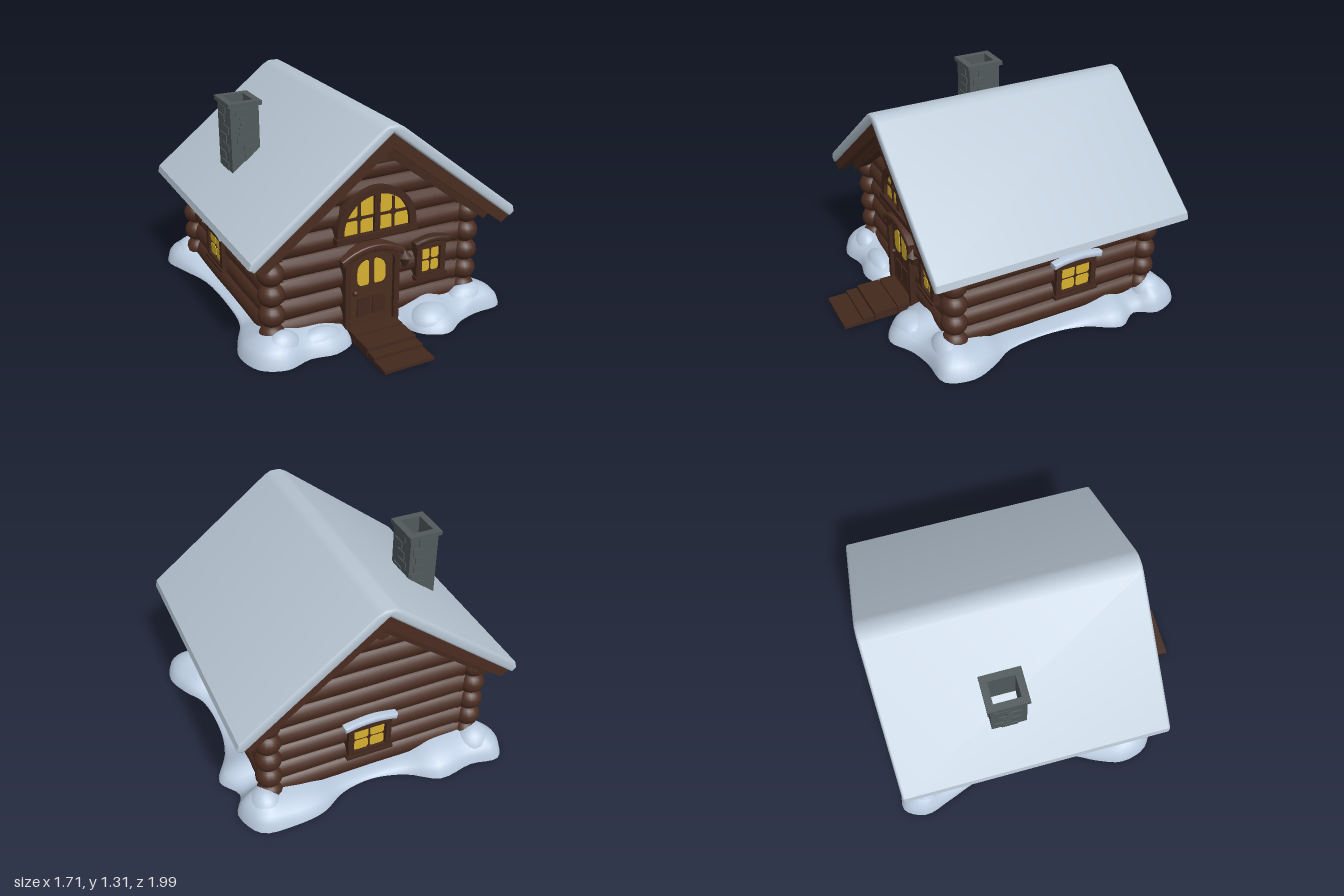
import * as THREE from 'three';
import { toCreasedNormals } from 'three/addons/utils/BufferGeometryUtils.js';

const paint = (name, color, side = THREE.FrontSide) => {
  const m = new THREE.MeshStandardMaterial({ color, side });
  m.name = name;
  return m;
};

export function createModel() {
  const wood = paint('log brown', 0x4a2c20);
  const trim = paint('trim brown', 0x42281d);
  const dark = paint('dark brown', 0x2e1b14);
  const glow = paint('window yellow', 0xd6b02f);
  const stone = paint('chimney grey', 0x50595b);
  const roofSnow = paint('roof snow', 0xb8c6d3);
  const drift = paint('drift snow', 0xb8c8dc);
  const model = new THREE.Group();
  model.name = 'snowyCabin';
  const CX = -0.02, HX = 0.64, ZF = 0.51, ZB = -0.765; // corner positions

  const add = (name, geo, mat, x = 0, y = 0, z = 0, parent = model) => {
    const m = new THREE.Mesh(geo, mat);
    m.name = name;
    m.position.set(x, y, z);
    parent.add(m);
    return m;
  };
  const box = (name, mat, w, h, d, x, y, z, parent) => add(name, new THREE.BoxGeometry(w, h, d), mat, x, y, z, parent);
  const poly = (pts) => new THREE.Shape(pts.map(p => new THREE.Vector2(p[0], p[1])));
  // extrude a shape between two z planes, with optional rounded edges
  const ext = (shape, z0, z1, b = 0) => {
    const g = new THREE.ExtrudeGeometry(shape, { depth: z1 - z0 - 2 * b, bevelEnabled: b > 0, bevelSize: b,
      bevelThickness: b, bevelOffset: -b, bevelSegments: 3, curveSegments: 14 });
    g.translate(0, 0, z0 + b);
    return b > 0 ? toCreasedNormals(g, 0.6) : g;
  };
  const rect = (w, h) => poly([[-w, -h], [w, -h], [w, h], [-w, h]]);
  const roundRect = (x, y, w, h, r) => {
    const s = new THREE.Shape();
    s.moveTo(x - w + r, y - h).lineTo(x + w - r, y - h).quadraticCurveTo(x + w, y - h, x + w, y - h + r);
    s.lineTo(x + w, y + h - r).quadraticCurveTo(x + w, y + h, x + w - r, y + h);
    s.lineTo(x - w + r, y + h).quadraticCurveTo(x - w, y + h, x - w, y + h - r);
    s.lineTo(x - w, y - h + r).quadraticCurveTo(x - w, y - h, x - w + r, y - h);
    return s;
  };
  const arch = (w, y0, spring, rise) => {
    const s = new THREE.Shape();
    s.moveTo(-w, y0).lineTo(w, y0).lineTo(w, spring).absellipse(0, spring, w, rise, 0, Math.PI, false, 0);
    return s;
  };
  // curved band used for hoods and caps
  const capShape = (w, y, rise, t) => {
    const top = [], low = [];
    for (let i = 0; i <= 10; i++) {
      const u = i / 5 - 1, k = y + rise * (1 - u * u);
      top.push([u * w, k + t]);
      low.unshift([u * w * 0.96, k]);
    }
    return poly([...top, ...low]);
  };

  // ---- log walls
  const log = (name, len, x, y, z, alongX, i) => {
    const g = new THREE.CylinderGeometry(0.071, 0.071, len, 14, 6);
    const p = g.attributes.position;
    for (let k = 0; k < p.count; k++) {
      const f = 1 + 0.025 * Math.sin(p.getY(k) * 9 + i * 2.3);
      p.setX(k, p.getX(k) * f);
      p.setZ(k, p.getZ(k) * f);
    }
    if (alongX) g.rotateZ(Math.PI / 2); else g.rotateX(Math.PI / 2);
    g.computeVertexNormals();
    add(name, toCreasedNormals(g, 0.9), wood, x, y, z);
  };
  const midZ = (ZF + ZB) / 2;
  for (let i = 0; i < 5; i++) {
    const y = 0.115 + 0.127 * i;
    log('frontLog', 2 * HX, CX, y, ZF - 0.04, true, i);
    log('backLog', 2 * HX, CX, y, ZB + 0.04, true, i + 2);
    for (const s of [-1, 1]) {
      log('sideLog', ZF - ZB, CX + s * (HX - 0.04), y, midZ, false, i + s);
      for (const z of [ZF, ZB]) {
        const end = add('logEnd', new THREE.SphereGeometry(0.078, 16, 12), wood, CX + s * HX, y, z);
        end.scale.y = 0.92;
      }
    }
  }
  for (let i = 0; i < 4; i++) { // gable logs shorten towards the ridge
    const y = 0.75 + 0.127 * i, half = (1.2 - y) / 0.785;
    log('gableLog', 2 * half, -0.01, y, ZF - 0.04, true, i + 1);
    log('gableLog', 2 * half, -0.01, y, ZB + 0.04, true, i + 4);
  }
  add('innerWall', ext(poly([[-0.61, 0.02], [0.58, 0.02], [0.58, 0.74], [-0.01, 1.21], [-0.61, 0.74]]),
    ZB + 0.05, ZF - 0.05), dark);

  // ---- roof deck, rake boards and snow blanket
  const chevron = (w, eave, apex, t) => poly([[-w, eave], [0, apex], [w, eave],
    [w - t * 0.6, eave - t * 0.45], [0, apex - t], [-w + t * 0.6, eave - t * 0.45]]);
  add('roofDeck', ext(chevron(0.815, 0.63, 1.265, 0.06), -0.88, 0.68), trim, -0.01);
  for (const [z0, z1] of [[0.645, 0.69], [-0.89, -0.85]])
    add('rakeBoard', ext(chevron(0.82, 0.63, 1.27, 0.095), z0, z1), wood, -0.01);
  for (const [z0, z1] of [[0.53, 0.6], [-0.85, -0.79]])
    add('innerRafter', ext(chevron(0.78, 0.655, 1.26, 0.14), z0, z1), trim, -0.01);
  const ridge = add('ridgeLog', new THREE.CylinderGeometry(0.045, 0.045, 1.44, 8), wood, -0.01, 1.115, -0.13);
  ridge.rotation.x = Math.PI / 2;
  box('collarTie', trim, 0.2, 0.03, 0.05, -0.01, 1.065, 0.545);
  const blanket = poly([[-0.845, 0.645], [-0.835, 0.685], [-0.07, 1.285], [-0.03, 1.306], [0.03, 1.306], [0.07, 1.285],
    [0.835, 0.685], [0.845, 0.645], [0.815, 0.622], [0, 1.262], [-0.815, 0.622]]);
  add('roofSnow', ext(blanket, -0.918, 0.705, 0.016), roofSnow, -0.01);

  // ---- chimney: hollow shaft, rim and raised stones
  const tube = (w, d, iw, id, y0, y1) => {
    const s = rect(w, d);
    s.holes.push(rect(iw, id));
    return ext(s, y0, y1).rotateX(-Math.PI / 2);
  };
  const chimney = new THREE.Group();
  chimney.name = 'chimney';
  chimney.position.set(-0.531, 0, -0.22);
  model.add(chimney);
  add('shaft', tube(0.089, 0.104, 0.063, 0.078, 0.78, 1.27), stone, 0, 0, 0, chimney);
  add('rim', tube(0.104, 0.12, 0.063, 0.078, 1.262, 1.288), stone, 0, 0, 0, chimney);
  let seed = 7;
  const rnd = () => (seed = (seed * 16807) % 2147483647) / 2147483647;
  for (let r = 0; r < 8; r++) for (const s of [-1, 1]) {
    const y = 0.83 + r * 0.057, a = (rnd() - 0.5) * 0.07, b = (rnd() - 0.5) * 0.08;
    box('stone', stone, 0.07 + rnd() * 0.03, 0.045, 0.012, a, y, s * 0.104, chimney);
    box('stone', stone, 0.012, 0.045, 0.08 + rnd() * 0.03, s * 0.089, y, b, chimney);
  }

  // ---- four-pane windows, facing +z before turning
  const makeWindow = (name, x, y, z, turn, w, h, gw, gh, capMat, capW) => {
    const g = new THREE.Group();
    g.name = name;
    g.position.set(x, y, z);
    g.rotation.y = turn;
    model.add(g);
    const frame = rect(w, h);
    frame.holes.push(rect(gw, gh));
    add('frame', ext(frame, -0.06, 0.025), trim, 0, 0, 0, g);
    add('muntins', ext(rect(gw, gh), -0.06, 0.008), trim, 0, 0, 0, g);
    for (const sx of [-1, 1]) for (const sy of [-1, 1])
      add('pane', ext(roundRect(sx * gw / 2, sy * gh / 2, gw / 2 - 0.006, gh / 2 - 0.006, 0.018), 0.007, 0.012), glow, 0, 0, 0, g);
    box('sill', trim, 2 * w + 0.02, 0.02, 0.09, 0, -h, -0.01, g);
    add('cap', ext(capShape(capW, h - 0.005, 0.022, 0.036), -0.06, 0.045, 0.012), capMat, 0, 0, 0, g);
  };
  makeWindow('frontWindow', 0.352, 0.375, 0.54, 0, 0.1, 0.105, 0.064, 0.08, trim, 0.125);
  makeWindow('rightWindow', CX + 0.67, 0.34, -0.26, -Math.PI * 1.5, 0.135, 0.11, 0.1, 0.08, drift, 0.165);
  makeWindow('leftWindow', CX - 0.67, 0.34, -0.26, Math.PI * 1.5, 0.135, 0.11, 0.1, 0.08, drift, 0.165);
  makeWindow('backWindow', 0.02, 0.34, -0.795, Math.PI, 0.135, 0.11, 0.1, 0.08, drift, 0.165);

  // ---- half-round gable window
  const fan = new THREE.Group();
  fan.name = 'archWindow';
  fan.position.set(-0.025, 0.645, 0);
  model.add(fan);
  const fanFrame = arch(0.255, -0.01, 0.02, 0.25);
  fanFrame.holes.push(arch(0.213, 0, 0.02, 0.208));
  add('frame', ext(fanFrame, 0.47, 0.575), trim, 0, 0, 0, fan);
  add('glass', ext(arch(0.215, 0, 0.02, 0.21), 0.545, 0.551), glow, 0, 0, 0, fan);
  add('backing', ext(arch(0.215, 0, 0.02, 0.21), 0.45, 0.544), trim, 0, 0, 0, fan);
  box('sill', trim, 0.53, 0.035, 0.11, 0, -0.018, 0.53, fan);
  box('post', trim, 0.036, 0.225, 0.03, 0, 0.112, 0.555, fan);
  box('crossBar', trim, 0.42, 0.016, 0.012, 0, 0.095, 0.553, fan);
  for (const s of [-1, 1]) {
    box('verticalBar', trim, 0.016, 0.19, 0.012, s * 0.11, 0.095, 0.553, fan);
    const boss = add('boss', new THREE.CylinderGeometry(0.02, 0.02, 0.012, 10), trim, s * 0.11, 0.095, 0.553, fan);
    boss.rotation.x = Math.PI / 2;
  }

  // ---- door with hood, panes, panels and knob
  const door = new THREE.Group();
  door.name = 'door';
  door.position.x = -0.05;
  model.add(door);
  const doorFrame = arch(0.178, 0.02, 0.45, 0.095);
  doorFrame.holes.push(arch(0.143, 0.03, 0.44, 0.075));
  add('frame', ext(doorFrame, 0.46, 0.575), trim, 0, 0, 0, door);
  add('leaf', ext(arch(0.145, 0.03, 0.44, 0.076), 0.46, 0.552), wood, 0, 0, 0, door);
  add('hood', ext(capShape(0.205, 0.465, 0.065, 0.038), 0.47, 0.588, 0.008), wood, 0, 0, 0, door);
  for (const s of [-1, 1]) {
    const pane = new THREE.Shape();
    pane.moveTo(s * 0.03, 0.31).lineTo(s * 0.065, 0.31).quadraticCurveTo(s * 0.092, 0.315, s * 0.092, 0.35);
    pane.lineTo(s * 0.092, 0.4).quadraticCurveTo(s * 0.088, 0.455, s * 0.03, 0.468);
    pane.quadraticCurveTo(s * 0.018, 0.465, s * 0.018, 0.45).lineTo(s * 0.018, 0.33).quadraticCurveTo(s * 0.018, 0.31, s * 0.03, 0.31);
    add('pane', ext(pane, 0.551, 0.558), glow, 0, 0, 0, door);
    box('panel', trim, 0.085, 0.12, 0.012, s * 0.05, 0.17, 0.553, door);
  }
  add('knob', new THREE.SphereGeometry(0.017, 12, 8), trim, -0.11, 0.275, 0.565, door);
  // lantern beside the door
  add('lantern', new THREE.CylinderGeometry(0.036, 0.014, 0.06, 6), trim, 0.168, 0.405, 0.56);
  add('lanternRoof', new THREE.ConeGeometry(0.045, 0.05, 6), trim, 0.168, 0.46, 0.56);

  // ---- entrance steps
  for (const [z0, z1, h] of [[0.46, 0.655, 0.055], [0.66, 0.805, 0.052], [0.81, 0.88, 0.037], [0.88, 1.0, 0.02]])
    box('step', trim, 0.32, h, z1 - z0, -0.05, h / 2, (z0 + z1) / 2);

  // ---- snow drifts: outline points [x, z, height against the wall]
  const rim = [[0.11, 0.6, 0.05], [0.2, 0.74, 0.09], [0.34, 0.8, 0.13], [0.48, 0.72, 0.1], [0.62, 0.68, 0.15],
    [0.8, 0.66, 0.15], [0.855, 0.5, 0.13], [0.8, 0.34, 0.1], [0.72, 0.2, 0.03], [0.7, -0.1, 0.02], [0.74, -0.3, 0.05],
    [0.84, -0.5, 0.11], [0.76, -0.64, 0.07], [0.82, -0.78, 0.16], [0.74, -0.95, 0.16], [0.55, -0.975, 0.13],
    [0.36, -0.95, 0.1], [0.2, -0.86, 0.05], [0, -0.83, 0.03], [-0.2, -0.88, 0.06], [-0.38, -0.99, 0.13],
    [-0.6, -0.96, 0.14], [-0.78, -0.98, 0.16], [-0.85, -0.85, 0.16], [-0.8, -0.68, 0.1], [-0.72, -0.45, 0.03],
    [-0.7, -0.1, 0.02], [-0.72, 0.15, 0.03], [-0.8, 0.32, 0.09], [-0.85, 0.48, 0.14], [-0.8, 0.65, 0.16],
    [-0.66, 0.72, 0.16], [-0.5, 0.68, 0.13], [-0.35, 0.7, 0.12], [-0.22, 0.64, 0.07], [-0.2, 0.56, 0.03], [-0.05, 0.55, 0.02]];
  const curve = new THREE.CatmullRomCurve3(rim.map(([x, z, h]) => new THREE.Vector3(x, h, z)), true);
  const N = 148, M = 7, rows = [];
  for (let i = 0; i < N; i++) {
    const p = curve.getPoint(i / N);
    const ix = THREE.MathUtils.clamp(p.x, -0.62, 0.58), iz = THREE.MathUtils.clamp(p.z, -0.72, 0.46);
    rows.push(Array.from({ length: M + 1 }, (_, j) => {
      const t = (j / M) ** 1.5;
      return [p.x + (ix - p.x) * t, Math.max(p.y, 0.01) * 1.05 * Math.sqrt(1 - (1 - t) ** 2), p.z + (iz - p.z) * t];
    }));
  }
  const pos = [];
  for (let i = 0; i < N; i++) {
    const a = rows[i], b = rows[(i + 1) % N];
    for (let j = 0; j < M; j++) pos.push(...a[j], ...b[j], ...b[j + 1], ...a[j], ...b[j + 1], ...a[j + 1]);
    pos.push(0, 0, -0.1, ...b[0], ...a[0]); // flat underside
  }
  const snow = new THREE.BufferGeometry();
  snow.setAttribute('position', new THREE.Float32BufferAttribute(pos, 3));
  add('snowDrift', toCreasedNormals(snow, 0.9), drift);
  // rounded lumps on the drifts: x, z, radius x, height, radius z
  for (const [x, z, rx, h, rz] of [[-0.63, 0.58, 0.13, 0.165, 0.1], [-0.4, 0.58, 0.17, 0.125, 0.09], [0.31, 0.64, 0.15, 0.125, 0.13],
    [0.62, 0.56, 0.16, 0.155, 0.1], [0.66, -0.8, 0.12, 0.17, 0.13], [-0.68, -0.82, 0.14, 0.17, 0.13]]) {
    const lump = add('snowLump', new THREE.SphereGeometry(1, 20, 8, 0, Math.PI * 2, 0, Math.PI / 2), drift, x, 0, z);
    lump.scale.set(rx, h, rz);
  }
  return model;
}
